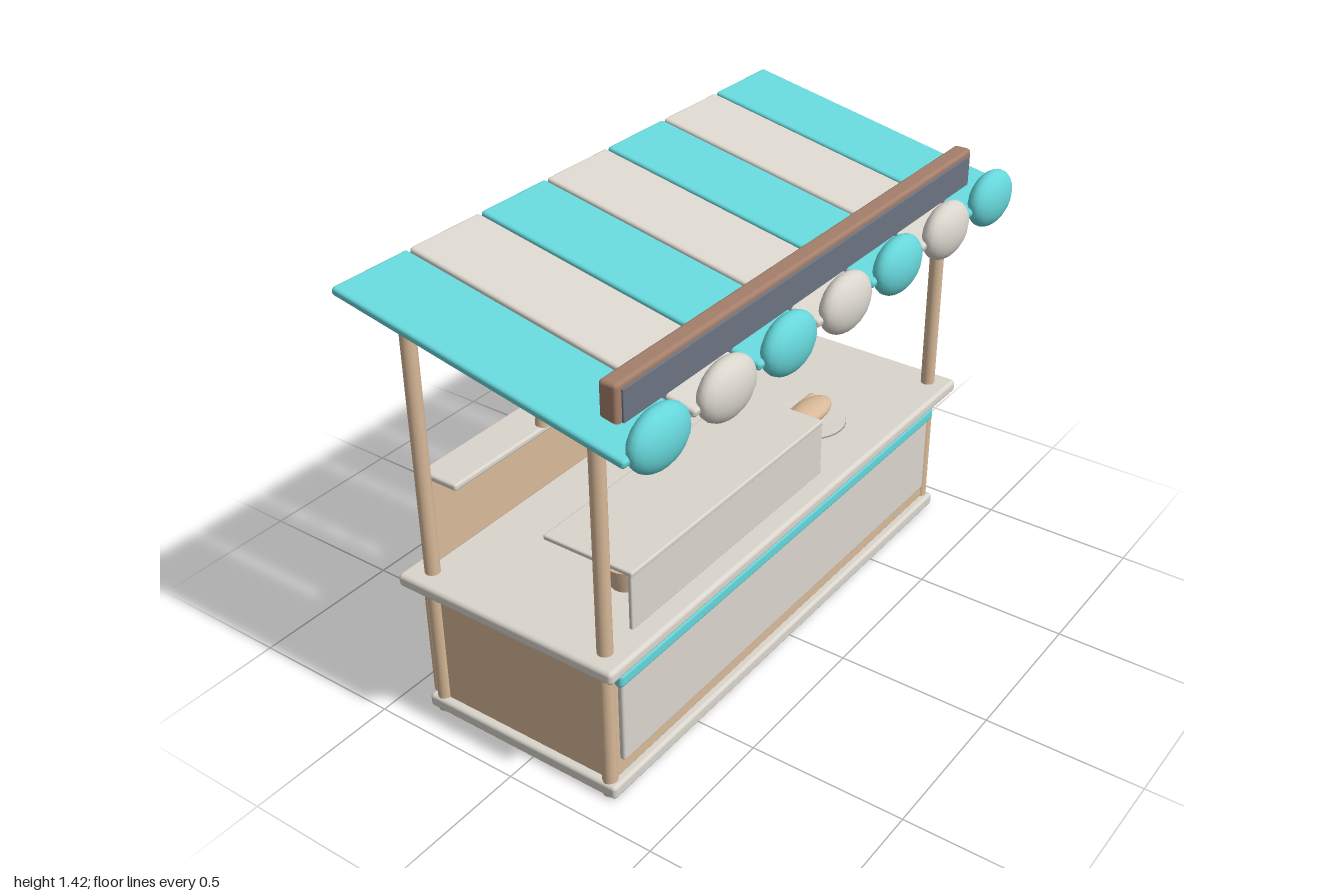
import * as THREE from 'three';
import { RoundedBoxGeometry } from 'three/addons/geometries/RoundedBoxGeometry.js';

const material = (name, color) => {
  const m = new THREE.MeshStandardMaterial({ color });
  m.name = name;
  return m;
};

export function createModel() {
  const model = new THREE.Group();
  model.name = 'foodStall';
  const wood = material('light wood', 0xd8b998);
  const cream = material('cream', 0xdad6cd);
  const teal = material('teal', 0x66d6da);
  const brown = material('brown frame', 0xa47f6b);
  const slate = material('slate grey', 0x6c7482);

  const add = (name, geometry, mat, x = 0, y = 0, z = 0) => {
    const mesh = new THREE.Mesh(geometry, mat);
    mesh.name = name;
    mesh.position.set(x, y, z);
    model.add(mesh);
    return mesh;
  };
  // Softened box given by its extents on each axis
  const box = (name, mat, [x0, x1], [y0, y1], [z0, z1], r = 0.008) => {
    const w = x1 - x0, h = y1 - y0, d = z1 - z0;
    const radius = Math.min(r, w * 0.45, h * 0.45, d * 0.45);
    return add(name, new RoundedBoxGeometry(w, h, d, 2, radius), mat,
      (x0 + x1) / 2, (y0 + y1) / 2, (z0 + z1) / 2);
  };
  const ellipsoid = (name, mat, [x, y, z], [rx, ry, rz]) =>
    add(name, new THREE.SphereGeometry(1, 20, 12).scale(rx, ry, rz), mat, x, y, z);

  // Cabinet
  box('base', cream, [-0.91, 0.91], [0.005, 0.05], [-0.395, 0.31], 0.012);
  box('cabinetBody', wood, [-0.885, 0.885], [0.045, 0.465], [-0.375, 0.285]);
  box('backPanel', wood, [-0.895, 0.895], [0.055, 0.46], [-0.39, -0.37]);
  box('frontPanel', cream, [-0.85, 0.845], [0.105, 0.435], [0.275, 0.302]);
  box('frontRail', teal, [-0.865, 0.865], [0.38, 0.425], [0.28, 0.312], 0.012);
  box('sideHandle', slate, [0.88, 0.922], [0.135, 0.45], [0.192, 0.222], 0.01);
  box('counter', cream, [-0.95, 0.95], [0.462, 0.505], [-0.43, 0.345], 0.014);

  // Corner posts
  for (const x of [-0.882, 0.882]) {
    for (const [z, top] of [[0.272, 1.18], [-0.355, 1.285]]) {
      add('post', new THREE.CylinderGeometry(0.023, 0.023, top, 16), wood, x, top / 2, z);
    }
  }

  // Rear splashback, shelf and bottles
  box('splashback', wood, [-0.875, 0.875], [0.5, 0.805], [-0.393, -0.375]);
  box('shelf', cream, [-0.86, 0.86], [0.802, 0.824], [-0.39, -0.255]);
  [wood, wood, cream].forEach((mat, i) => add('bottle',
    new THREE.CylinderGeometry(0.014, 0.024, 0.106, 14), mat, -0.47 + i * 0.13, 0.876, -0.27));

  // Serving guard: upright front with a flat top, open at the back and ends
  box('guardFront', cream, [-0.765, 0.195], [0.502, 0.69], [0.262, 0.276], 0.005);
  box('guardTop', cream, [-0.765, 0.195], [0.68, 0.697], [-0.032, 0.278], 0.006);

  // Plate with a filled bun
  const plate = [[0, 0], [0.09, 0], [0.122, 0.013], [0.12, 0.019], [0.085, 0.012], [0, 0.012]];
  add('plate', new THREE.LatheGeometry(plate.map(p => new THREE.Vector2(...p)), 28),
    cream, 0.42, 0.505, 0.088);
  ellipsoid('bun', wood, [0.42, 0.551, 0.09], [0.107, 0.029, 0.052]);
  const sausage = add('sausage', new THREE.CapsuleGeometry(0.016, 0.17, 6, 12), wood, 0.42, 0.545, 0.045);
  sausage.rotation.z = Math.PI / 2;

  // Cup of fries behind the guard
  add('friesCup', new THREE.CylinderGeometry(0.06, 0.045, 0.075, 18), wood, -0.61, 0.545, 0.132);
  for (let i = 0; i < 5; i++) {
    const fry = add('fry', new THREE.BoxGeometry(0.013, 0.1, 0.013), wood,
      -0.642 + i * 0.016, 0.585 + (i % 2) * 0.006, i % 2 ? 0.12 : 0.15);
    fry.rotation.x = i % 2 ? -0.12 : 0.1;
  }

  // Sloping striped awning with a rounded bobble at the front of each strip
  const pitch = 0.2867, slope = Math.atan2(0.186, 0.945);
  for (let i = 0; i < 7; i++) {
    const x = (i - 3) * pitch;
    const mat = i % 2 ? cream : teal;
    const strip = box('awningStrip', mat, [x - 0.138, x + 0.138], [1.303, 1.329], [-0.508, 0.458], 0.01);
    strip.position.set(x, 1.316, -0.024);
    strip.rotation.x = slope;
    ellipsoid('awningBobble', mat, [x, 1.237, 0.45], [0.116, 0.088, 0.05]);
  }

  // Blank sign board
  box('signFrame', brown, [-0.9, 0.9], [1.143, 1.366], [0.297, 0.355], 0.012);
  box('signFace', slate, [-0.88, 0.88], [1.162, 1.348], [0.353, 0.361], 0.003);

  return model;
}
